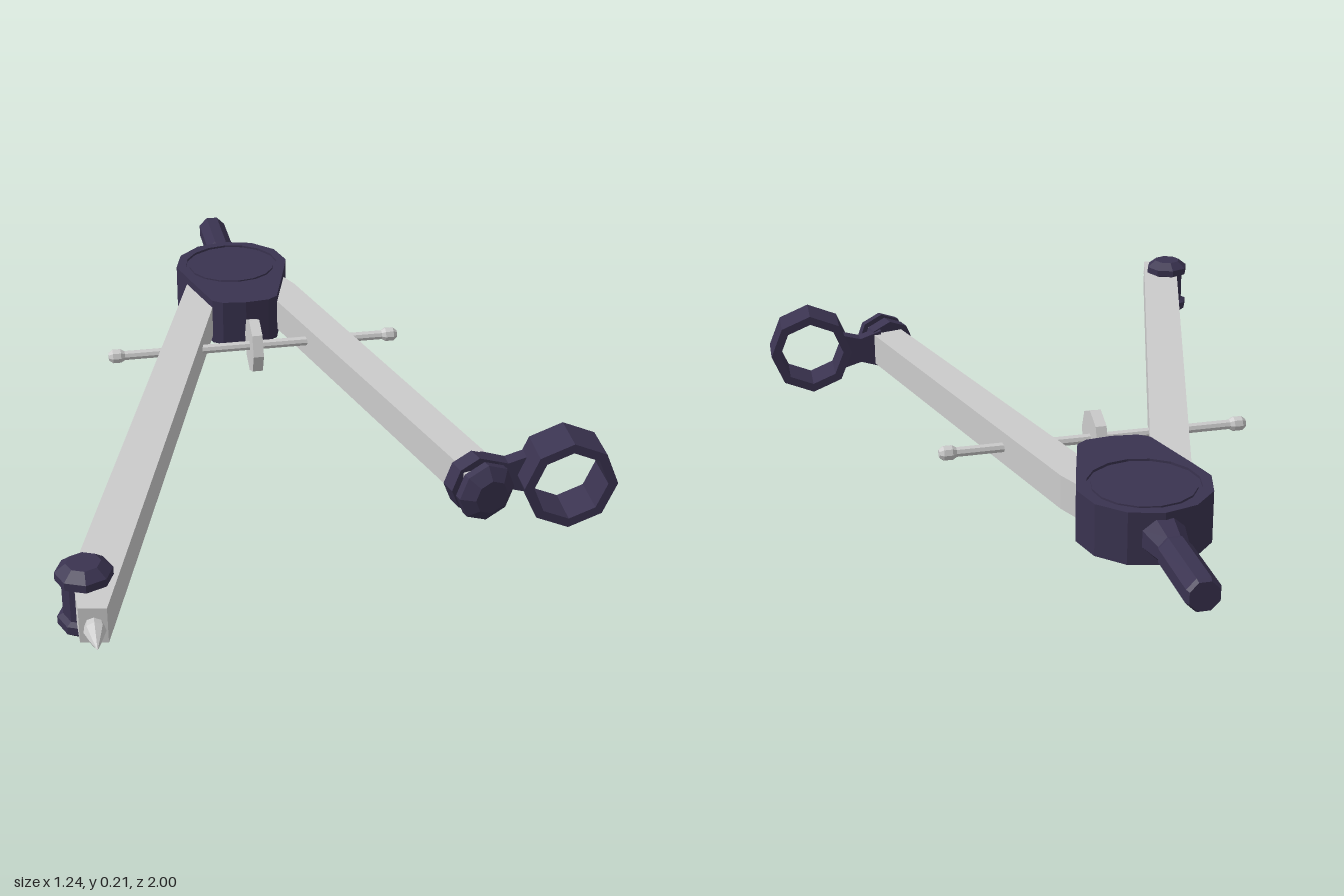
import * as THREE from 'three';

const dark = new THREE.MeshStandardMaterial({ color: 0x3a3350, flatShading: true });
const grey = new THREE.MeshStandardMaterial({ color: 0xcccccc, flatShading: true });
const MID = 0.105; // height of the centre plane

export function createModel() {
  const model = new THREE.Group();
  const add = (name, geometry, material, x = 0, y = 0, z = 0, parent = model) => {
    const mesh = new THREE.Mesh(geometry, material);
    mesh.name = name;
    mesh.position.set(x, y, z);
    parent.add(mesh);
    return mesh;
  };
  // Flat plan outline in (x, z), raised by a height centred on y = 0
  const slab = (points, height, hole) => {
    const shape = new THREE.Shape(points.map(([x, z]) => new THREE.Vector2(x, -z)));
    if (hole) shape.holes.push(new THREE.Path(hole.map(([x, z]) => new THREE.Vector2(x, -z))));
    return new THREE.ExtrudeGeometry(shape, { depth: height, bevelEnabled: false })
      .translate(0, 0, -height / 2).rotateX(-Math.PI / 2);
  };
  // Turned part from [radius, height] pairs
  const turned = (profile, sides = 8) =>
    new THREE.LatheGeometry(profile.map(([r, h]) => new THREE.Vector2(r, h)), sides);
  const circle = (cx, cz, r, n, start = 0, sweep = Math.PI * 2) =>
    Array.from({ length: n }, (_, i) => {
      const a = start + sweep * i / n;
      return [cx + r * Math.cos(a), cz + r * Math.sin(a)];
    });

  // Hinge head: round at the back, tapering to the front, with an inset disc
  const outline = [
    ...circle(-0.06, -0.6, 0.15, 9, Math.PI / 6, -Math.PI * 1.5),
    [-0.145, -0.37], [-0.12, -0.352], [-0.06, -0.345], [0, -0.352], [0.025, -0.37],
  ].filter((p, i) => i < 9 || p);
  add('head', slab(outline, 0.108), dark, 0, MID);
  const recess = circle(-0.06, -0.6, 0.124, 16);
  for (const side of [1, -1]) {
    add('headRim', slab(outline, 0.006, recess), dark, 0, MID + side * 0.057);
    add('headDisc', new THREE.CylinderGeometry(0.115, 0.115, 0.005, 16), dark, -0.06, MID + side * 0.0565, -0.6);
  }

  // Handle with a conical neck
  add('handle', turned([[0, 0], [0.05, 0], [0.05, 0.03], [0.036, 0.1], [0.039, 0.11], [0.039, 0.285], [0.034, 0.295], [0, 0.295]])
    .rotateY(Math.PI / 8).rotateX(-Math.PI / 2), dark, -0.06, MID, -0.705);

  // Needle leg and pencil leg
  add('needleLeg', slab([[-0.17, -0.6], [-0.2, -0.5], [-0.588, 0.79], [-0.585, 0.915], [-0.53, 0.925], [-0.145, -0.37], [-0.08, -0.6]], 0.08), grey, 0, MID);
  add('pencilLeg', slab([[0.05, -0.58], [0.092, -0.48], [0.35, 0.5], [0.272, 0.52], [0.03, -0.37], [-0.03, -0.58]], 0.08), grey, 0, MID);

  // Needle point
  add('needle', turned([[0, 0], [0.016, 0], [0.022, 0.04], [0.012, 0.07], [0, 0.1]])
    .rotateX(Math.PI / 2), grey, -0.556, MID, 0.9);

  // Clamp screw through the needle leg, capped above and below
  add('needleClamp', turned([
    [0, -0.078], [0.035, -0.078], [0.058, -0.06], [0.058, -0.043], [0.046, -0.037],
    [0.046, 0.037], [0.058, 0.043], [0.058, 0.06], [0.035, 0.078], [0, 0.078],
  ]), dark, -0.565, MID, 0.815);

  // Pencil clamp on the end of the other leg, turned along that leg
  const clamp = new THREE.Group();
  clamp.name = 'pencilClamp';
  clamp.position.set(0.307, MID, 0.532);
  clamp.rotation.y = 0.25;
  model.add(clamp);
  add('clampPlate', turned([[0, -0.02], [0.066, -0.02], [0.066, 0.018], [0, 0.018]])
    .rotateX(Math.PI / 2), dark, 0, 0, 0, clamp);
  add('clampShaft', new THREE.BoxGeometry(0.078, 0.08, 0.06), grey, 0, 0, 0.025, clamp);
  add('clampKnob', turned([[0, 0.038], [0.068, 0.038], [0.068, 0.056], [0.04, 0.077], [0, 0.077]])
    .rotateX(Math.PI / 2), dark, 0, 0, 0, clamp);

  // Arm and open ring that hold the pencil
  const arm = new THREE.Shape([[0.33, -0.05], [0.385, -0.032], [0.43, -0.045], [0.43, 0.045], [0.385, 0.032], [0.33, 0.05]]
    .map(([x, y]) => new THREE.Vector2(x, y)));
  add('ringArm', new THREE.ExtrudeGeometry(arm, { depth: 0.034, bevelEnabled: false }), dark, 0, MID, 0.492);
  const ring = add('pencilRing', turned([[0.083, -0.05], [0.105, -0.05], [0.105, 0.05], [0.083, 0.05], [0.083, -0.05]])
    .rotateX(Math.PI / 2), dark, 0.512, MID, 0.543);
  ring.rotation.y = -0.05;

  // Spreader rod with beaded ends and a thumb wheel
  add('spreaderRod', turned([
    [0, -0.37], [0.01, -0.37], [0.018, -0.36], [0.018, -0.34], [0.012, -0.33],
    [0.012, 0.33], [0.018, 0.34], [0.018, 0.36], [0.01, 0.37], [0, 0.37],
  ]).rotateZ(-Math.PI / 2), grey, -0.06, MID, -0.215);
  add('thumbWheel', new THREE.CylinderGeometry(0.07, 0.07, 0.026, 8).rotateZ(Math.PI / 2), grey, -0.06, MID, -0.215);

  return model;
}
